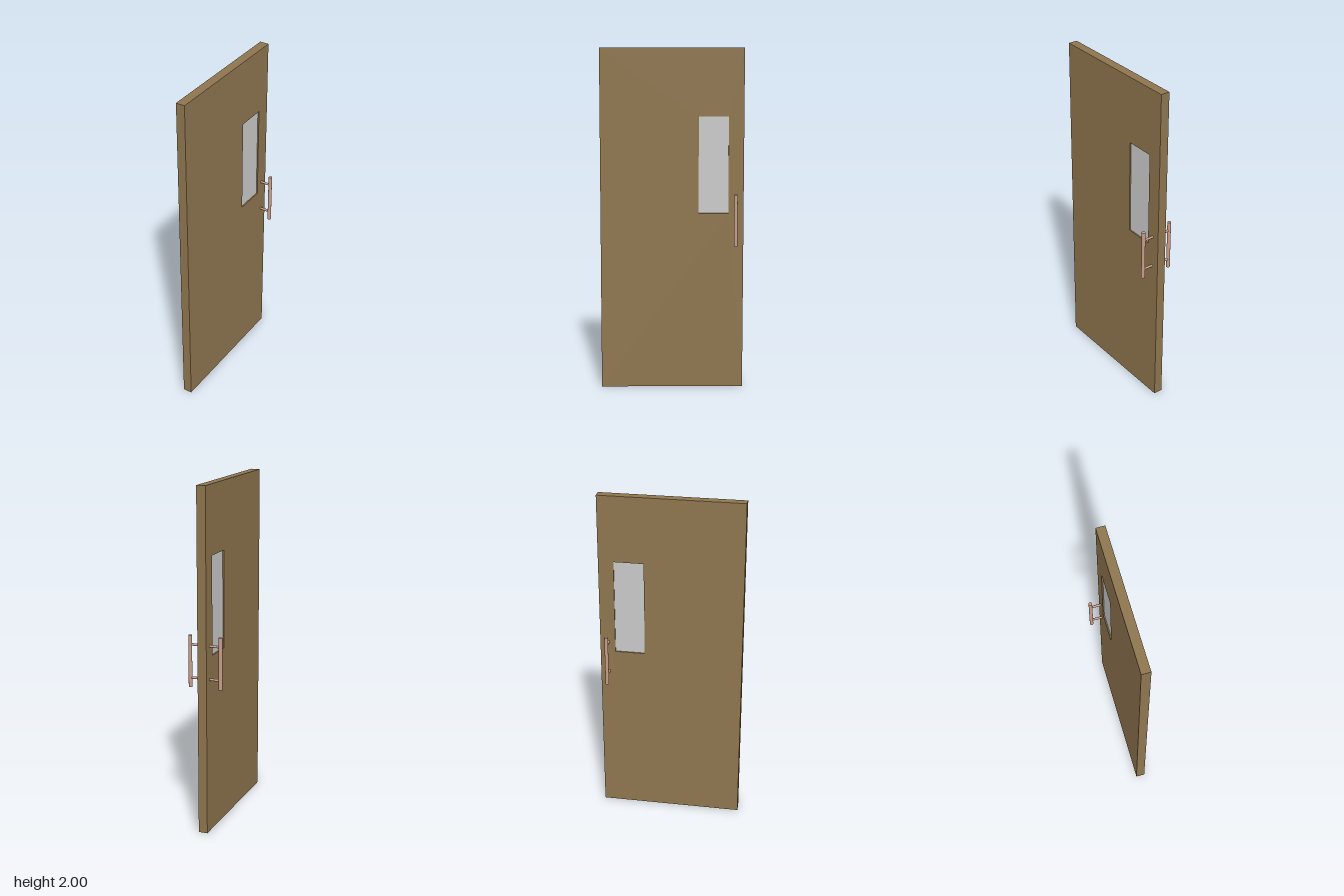
import * as THREE from 'three';

const material = (name, color) => {
  const m = new THREE.MeshStandardMaterial({ color });
  m.name = name;
  return m;
};

// Rectangle corners in the plane of the door
const corners = (x0, y0, x1, y1) => [
  new THREE.Vector2(x0, y0), new THREE.Vector2(x1, y0),
  new THREE.Vector2(x1, y1), new THREE.Vector2(x0, y1),
];

export function createModel() {
  const wood = material('wood', 0x8e754e);
  const glass = material('frosted glass', 0xcacaca);
  const copper = material('brushed copper', 0xc99d88);

  const group = new THREE.Group();
  group.name = 'door';
  const add = (parent, name, geometry, mat, x = 0, y = 0, z = 0) => {
    const mesh = new THREE.Mesh(geometry, mat);
    mesh.name = name;
    mesh.position.set(x, y, z);
    parent.add(mesh);
    return mesh;
  };

  // Door leaf with a window opening; the outline's x axis turns to -z
  const thickness = 0.053;
  const outline = new THREE.Shape(corners(-0.418, 0, 0.418, 2));
  outline.holes.push(new THREE.Path(corners(0.155, 1.043, 0.329, 1.609).reverse()));
  const leaf = new THREE.ExtrudeGeometry(outline, { depth: thickness, bevelEnabled: false });
  leaf.translate(0, 0, -thickness / 2).rotateY(Math.PI / 2);
  add(group, 'doorLeaf', leaf, wood);

  // Slightly recessed pane
  add(group, 'windowPane', new THREE.BoxGeometry(0.038, 0.566, 0.174), glass, 0, 1.326, -0.242);

  // A pull handle on each face: upright bar and two standoffs
  const reach = 0.091;
  for (const side of [1, -1]) {
    const handle = new THREE.Group();
    handle.name = side > 0 ? 'leftHandle' : 'rightHandle';
    handle.position.z = -0.369;
    add(handle, 'gripBar', new THREE.CylinderGeometry(0.0105, 0.0105, 0.302, 24), copper, side * reach, 1.009, 0);
    const length = reach - 0.02;
    for (const y of [0.913, 1.106]) {
      const post = add(handle, 'standoff', new THREE.CylinderGeometry(0.007, 0.007, length, 16), copper,
        side * (0.02 + length / 2), y, 0);
      post.rotation.z = Math.PI / 2;
    }
    group.add(handle);
  }
  return group;
}
